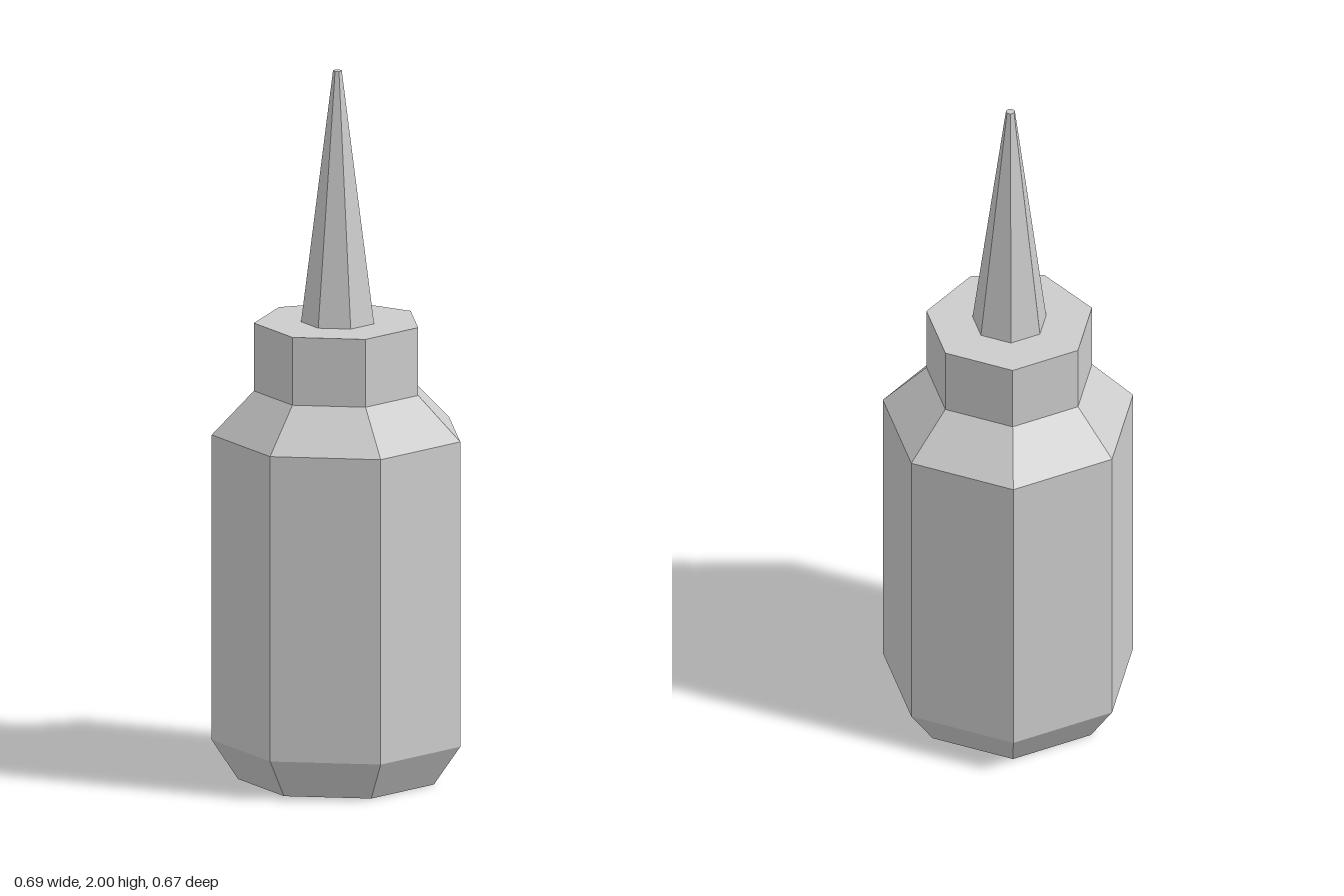
import * as THREE from 'three';

const SIDES = 7;

// Seven-sided solid from rings [height, radius, z of ring centre], bottom to top;
// a corner points to the front, and radius 0 closes an end.
function turnedPart(name, rings, material) {
  const points = rings.map(([y, r]) => new THREE.Vector2(r, y));
  const geometry = new THREE.LatheGeometry(points, SIDES);
  const pos = geometry.attributes.position;
  for (let i = 0; i < pos.count; i++) {
    pos.setZ(i, pos.getZ(i) + rings[i % rings.length][2]);
  }
  const flat = geometry.toNonIndexed();
  flat.computeVertexNormals();
  const mesh = new THREE.Mesh(flat, material);
  mesh.name = name;
  return mesh;
}

export function createModel() {
  const group = new THREE.Group();
  group.name = 'nozzleBottle';
  const grey = new THREE.MeshStandardMaterial({ color: 0xcccccc, flatShading: true });

  // Body with chamfered base and sloping shoulder, running into the collar
  group.add(turnedPart('bottle', [
    [0, 0, -0.015],
    [0, 0.279, -0.015],
    [0.112, 0.354, -0.019],
    [0.975, 0.354, -0.019],
    [1.098, 0.234, -0.013],
    [1.29, 0.234, -0.013],
    [1.29, 0, -0.013],
  ], grey));

  // Long tapered spout with a small blunt tip
  group.add(turnedPart('nozzle', [
    [1.29, 0, -0.0145],
    [1.29, 0.104, -0.0145],
    [2, 0.0125, -0.009],
    [2, 0, -0.009],
  ], grey));

  return group;
}
